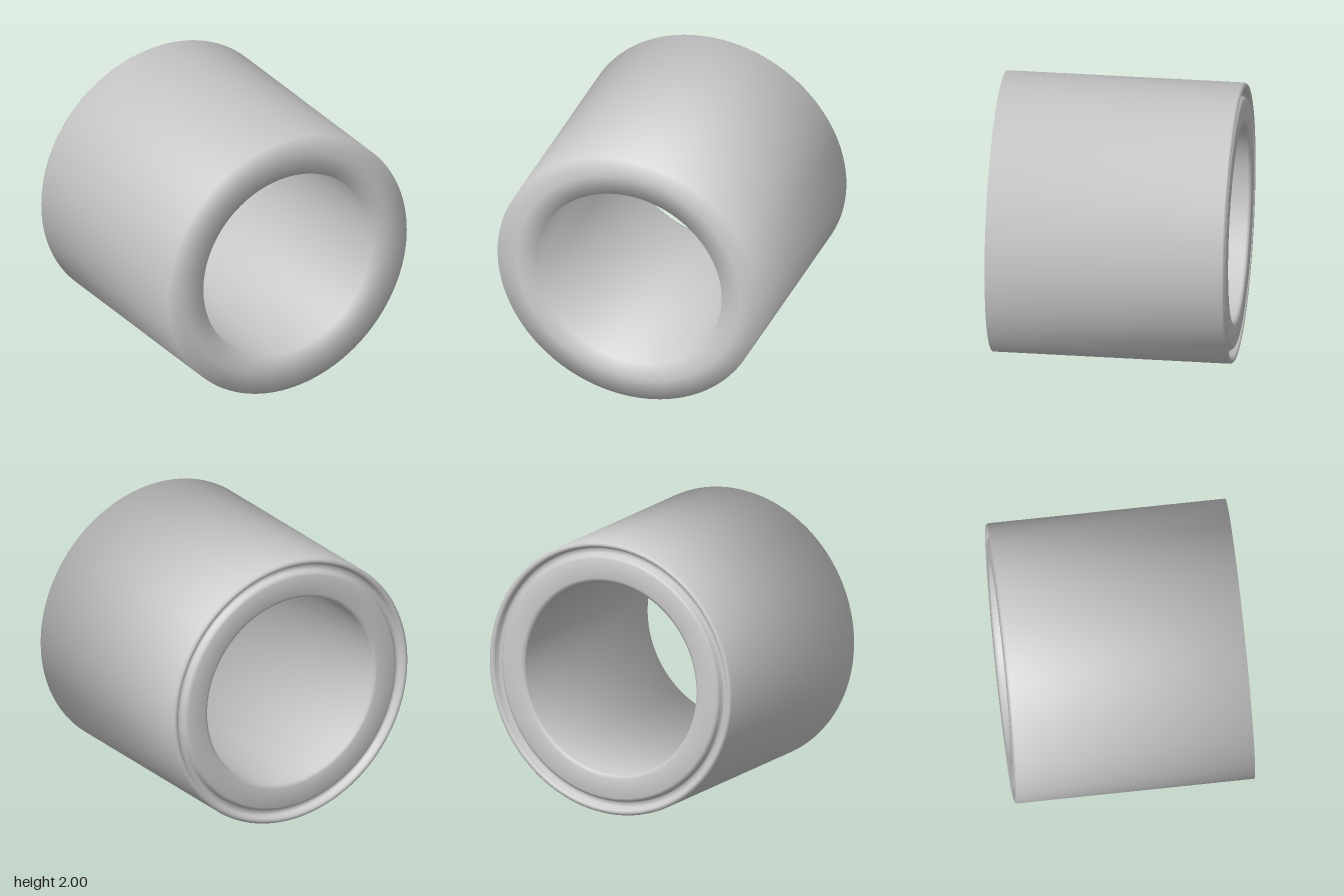
import * as THREE from 'three';

const SEGMENTS = 128;

// Closed section of the sleeve as [radius, z]: down the bore, across the back, up the outside
const section = [
  [0.85, 0.857],                                   // middle of the flat front rim
  [0.706, 0.857],                                  // front edge of the bore
  [0.706, -0.83], [0.713, -0.848], [0.735, -0.855], // rounded back edge of the bore
  [0.875, -0.855], [0.892, -0.848], [0.9, -0.835],  // flat back face
  [0.905, -0.808], [0.915, -0.8], [0.94, -0.8], [0.95, -0.808], // groove
  [0.956, -0.838], [0.964, -0.85], [0.976, -0.855], // outer lip
  [0.99, -0.852], [1, -0.838],
  [1, 0.857],                                      // front outer edge
  [0.85, 0.857],
].map(([r, z]) => new THREE.Vector2(r, z));

// Soft normals: each corner gets the even average of its two neighbouring sides
function softenNormals(geometry, points) {
  const last = points.length - 1;
  const side = (i) => {
    const d = points[i + 1].clone().sub(points[i]).normalize();
    return new THREE.Vector2(d.y, -d.x);
  };
  const normals = points.map((_, i) =>
    side((i + last - 1) % last).add(side(i % last)).normalize());
  const attribute = geometry.attributes.normal;
  for (let s = 0; s <= SEGMENTS; s++) {
    const angle = (s / SEGMENTS) * Math.PI * 2;
    normals.forEach((n, i) => attribute.setXYZ(
      s * points.length + i, n.x * Math.sin(angle), n.y, n.x * Math.cos(angle)));
  }
}

export function createModel() {
  const group = new THREE.Group();
  group.name = 'ringSleeve';

  // Turned sleeve, laid so that its axis runs front to back
  const geometry = new THREE.LatheGeometry(section, SEGMENTS);
  softenNormals(geometry, section);
  geometry.rotateX(Math.PI / 2);

  const sleeve = new THREE.Mesh(geometry, new THREE.MeshStandardMaterial({ color: 0xcccccc }));
  sleeve.name = 'sleeve';
  sleeve.position.y = 1;
  group.add(sleeve);
  return group;
}
